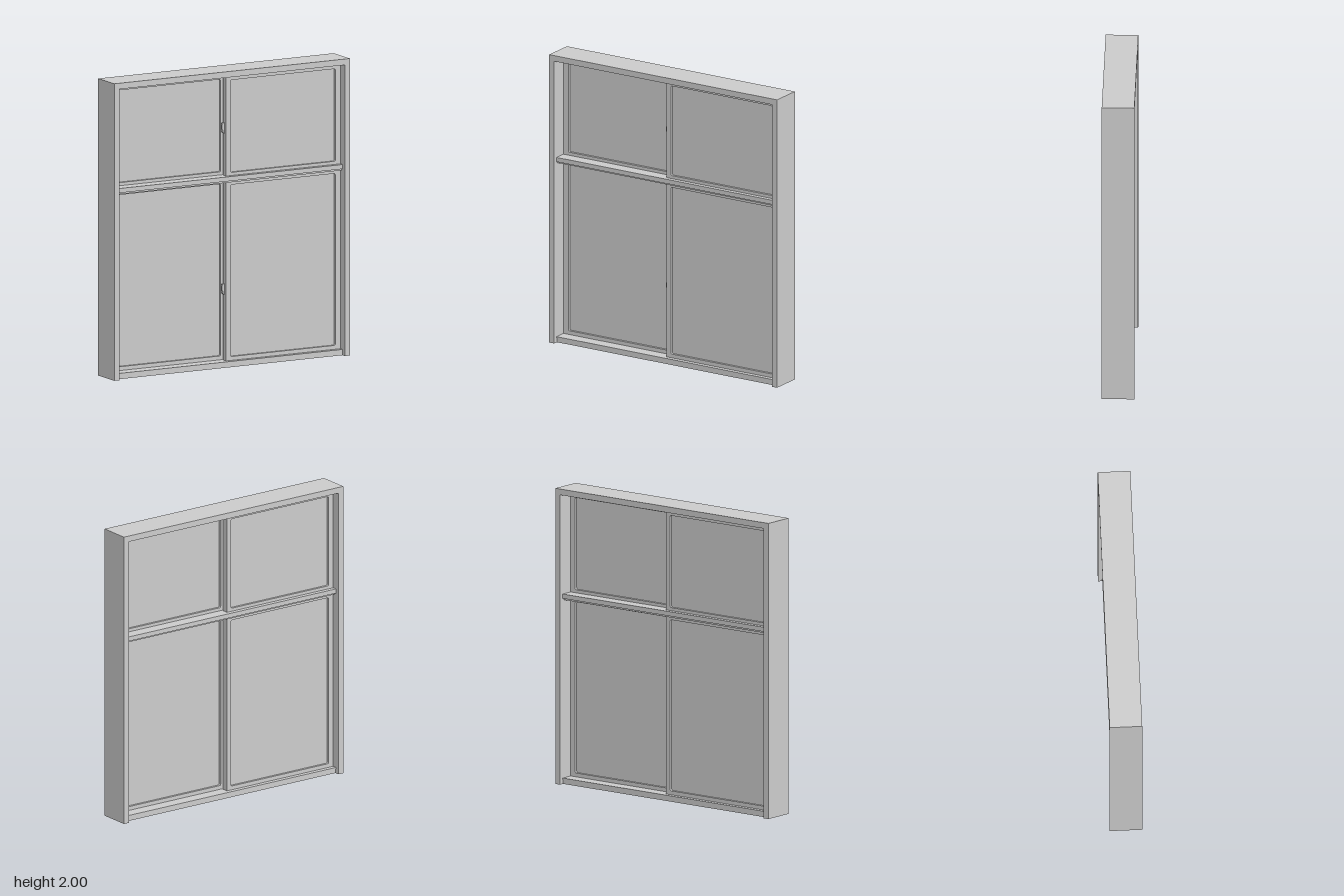
import * as THREE from 'three';

const material = new THREE.MeshStandardMaterial({ color: 0xcccccc });

// Box given by its minimum and maximum on each axis
function box(name, x0, x1, y0, y1, z0, z1) {
  const mesh = new THREE.Mesh(new THREE.BoxGeometry(x1 - x0, y1 - y0, z1 - z0), material);
  mesh.name = name;
  mesh.position.set((x0 + x1) / 2, (y0 + y1) / 2, (z0 + z1) / 2);
  return mesh;
}

function rectPath(path, x0, x1, y0, y1) {
  path.moveTo(x0, y0);
  path.lineTo(x1, y0);
  path.lineTo(x1, y1);
  path.lineTo(x0, y1);
  path.closePath();
  return path;
}

// Rectangle with slightly rounded corners
function roundedPath(path, x0, x1, y0, y1, r) {
  path.moveTo(x0 + r, y0);
  path.lineTo(x1 - r, y0);
  path.quadraticCurveTo(x1, y0, x1, y0 + r);
  path.lineTo(x1, y1 - r);
  path.quadraticCurveTo(x1, y1, x1 - r, y1);
  path.lineTo(x0 + r, y1);
  path.quadraticCurveTo(x0, y1, x0, y1 - r);
  path.lineTo(x0, y0 + r);
  path.quadraticCurveTo(x0, y0, x0 + r, y0);
  return path;
}

// Sliding sash: rails and stiles around a recessed pane
function sash(name, y0, y1, g0, g1) {
  const group = new THREE.Group();
  group.name = name;
  const shape = rectPath(new THREE.Shape(), -0.012, 0.86, y0, y1);
  shape.holes.push(roundedPath(new THREE.Path(), 0.023, 0.822, g0, g1, 0.01));
  const frame = new THREE.Mesh(
    new THREE.ExtrudeGeometry(shape, { depth: 0.044, bevelEnabled: false, curveSegments: 4 }), material);
  frame.name = 'sashFrame';
  frame.position.z = 0.005;
  group.add(frame, box('glassPane', 0.015, 0.83, g0 - 0.008, g1 + 0.008, 0.022, 0.032));
  return group;
}

// Small curved latch on the meeting stile
function latch(y) {
  const group = new THREE.Group();
  group.name = 'latch';
  const s = new THREE.Shape();
  s.moveTo(-0.012, -0.036);
  s.lineTo(-0.02, -0.034);
  s.quadraticCurveTo(-0.025, -0.02, -0.023, -0.012);
  s.lineTo(-0.031, -0.008);
  s.lineTo(-0.031, 0.02);
  s.quadraticCurveTo(-0.026, 0.036, -0.012, 0.036);
  s.closePath();
  const body = new THREE.Mesh(
    new THREE.ExtrudeGeometry(s, { depth: 0.014, bevelEnabled: false, curveSegments: 5 }), material);
  body.name = 'latchBody';
  body.position.z = 0.012;
  group.add(body, box('latchPlate', -0.02, -0.011, -0.03, 0.03, -0.006, 0.013));
  group.position.y = y;
  return group;
}

export function createModel() {
  const model = new THREE.Group();
  model.name = 'slidingWindow';
  const D = 0.108;

  // Outer frame
  for (const side of [-1, 1]) {
    model.add(box(side > 0 ? 'leftJamb' : 'rightJamb',
      side > 0 ? 0.86 : -0.9, side > 0 ? 0.9 : -0.86, 0, 2, -D, D));
  }
  model.add(box('head', -0.86, 0.86, 1.96, 2, -D, D));

  // Sill and transom, each with a stepped edge
  model.add(box('sill', -0.86, 0.86, 0, 0.03, -0.075, 0.075));
  model.add(box('sillLip', -0.86, 0.86, 0.03, 0.04, -0.08, 0.08));
  model.add(box('transom', -0.86, 0.86, 1.255, 1.285, -0.08, 0.08));
  model.add(box('transomTrack', -0.86, 0.86, 1.243, 1.255, -0.066, 0.066));

  // Two sashes per opening; the rear one is the front one turned half round
  const rows = [
    ['lower', 0.04, 1.243, 0.066, 1.223],
    ['upper', 1.285, 1.96, 1.306, 1.928],
  ];
  for (const [name, y0, y1, g0, g1] of rows) {
    model.add(sash(name + 'FrontSash', y0, y1, g0, g1));
    const rear = sash(name + 'RearSash', y0, y1, g0, g1);
    rear.rotation.y = Math.PI;
    model.add(rear);
  }

  model.add(latch(0.52), latch(1.605));
  return model;
}
